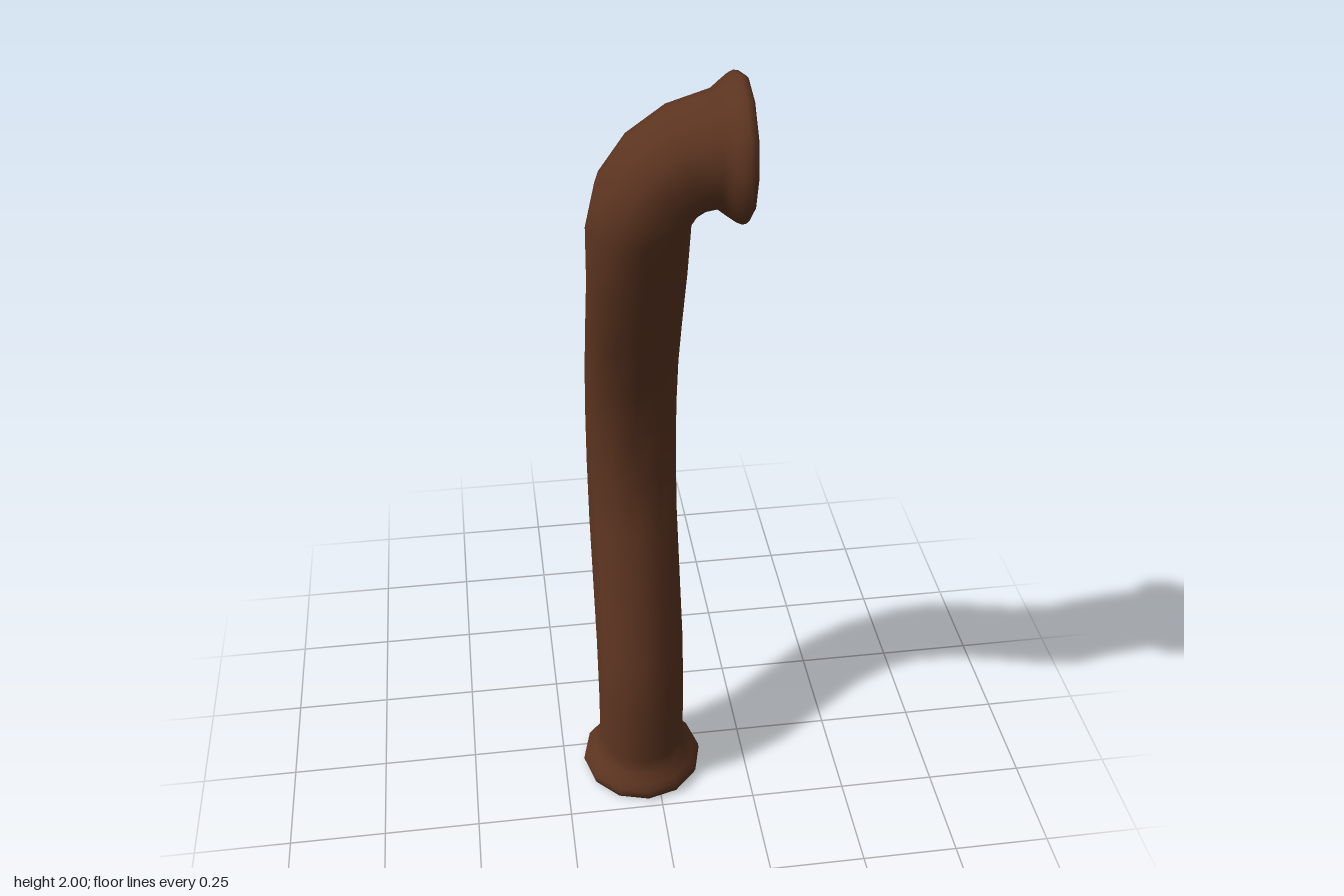
import * as THREE from 'three';

const SIDES = 12;
const CX = -0.035, CZ = 0.07, TOP_Y = 1.84;

// A ring is spanned by its outer and inner point in the xy plane and a half-width in z.
const level = (y, z, r, rz = r) => ({ outer: [CX - r, y], inner: [CX + r, y], z, rz });
const upright = (x, r) => ({ outer: [x, TOP_Y + r], inner: [x, TOP_Y - r], z: 0.068, rz: r });

function ringPoints({ outer, inner, z, rz }) {
  const points = [];
  for (let j = 0; j < SIDES; j++) {
    const a = (j / SIDES) * Math.PI * 2, t = (1 + Math.cos(a)) / 2;
    points.push(new THREE.Vector3(
      outer[0] + (inner[0] - outer[0]) * t,
      outer[1] + (inner[1] - outer[1]) * t,
      z + Math.sin(a) * rz
    ));
  }
  return points;
}

// Smooth skin through a sequence of rings
function loft(rings) {
  const index = [];
  for (let i = 0; i < rings.length - 1; i++) {
    for (let j = 0; j < SIDES; j++) {
      const k = (j + 1) % SIDES;
      const a = i * SIDES + j, b = i * SIDES + k, c = a + SIDES, d = b + SIDES;
      index.push(a, c, b, b, c, d);
    }
  }
  const geometry = new THREE.BufferGeometry().setFromPoints(rings.flatMap(ringPoints));
  geometry.setIndex(index);
  geometry.computeVertexNormals();
  return geometry;
}

// Flat disc closing one ring
function disc(ring, flip) {
  const index = [];
  for (let j = 1; j < SIDES - 1; j++) index.push(0, flip ? j + 1 : j, flip ? j : j + 1);
  const geometry = new THREE.BufferGeometry().setFromPoints(ringPoints(ring));
  geometry.setIndex(index);
  geometry.computeVertexNormals();
  return geometry;
}

export function createModel() {
  const brown = new THREE.MeshStandardMaterial({ color: 0x5c3420 });
  const black = new THREE.MeshStandardMaterial({ color: 0x0a0a0a });
  const group = new THREE.Group();
  group.name = 'bentPipe';

  const add = (name, geometry, material) => {
    const mesh = new THREE.Mesh(geometry, material);
    mesh.name = name;
    group.add(mesh);
  };

  // Bottom flange: [y, radius]
  const foot = [[0, 0.15], [0.004, 0.157], [0.018, 0.162], [0.032, 0.16], [0.05, 0.149], [0.072, 0.13], [0.106, 0.115]]
    .map(([y, r]) => level(y, CZ, r));

  // Swaying shaft: [y, z centre, z half-width]
  const shaft = [
    [0.265, 0.07, 0.114], [0.434, 0.04, 0.112], [0.757, -0.087, 0.112], [0.92, -0.115, 0.113],
    [1.075, -0.114, 0.115], [1.215, -0.09, 0.119], [1.355, -0.04, 0.122], [1.52, 0.026, 0.124],
  ].map(([y, z, rz]) => level(y, z, 0.115, rz));

  // Elbow turning towards +x: [outer x, outer y, inner x, inner y]
  const elbow = [
    [-0.153, 1.675, 0.081, 1.675], [-0.13, 1.78, 0.084, 1.69],
    [-0.067, 1.87, 0.092, 1.703], [0.024, 1.935, 0.106, 1.711],
  ].map(([ox, oy, ix, iy]) => ({ outer: [ox, oy], inner: [ix, iy], z: 0.068, rz: 0.127 }));

  // Top flange: [x, radius]
  const mouth = [[0.125, 0.127], [0.148, 0.145], [0.163, 0.156], [0.176, 0.162], [0.187, 0.16], [0.194, 0.153], [0.195, 0.148]]
    .map(([x, r]) => upright(x, r));

  add('pipe', loft([...foot, ...shaft, ...elbow, ...mouth]), brown);
  add('bottomOpening', disc(foot[0], false), black);
  add('topOpening', disc(mouth[mouth.length - 1], true), black);
  return group;
}
